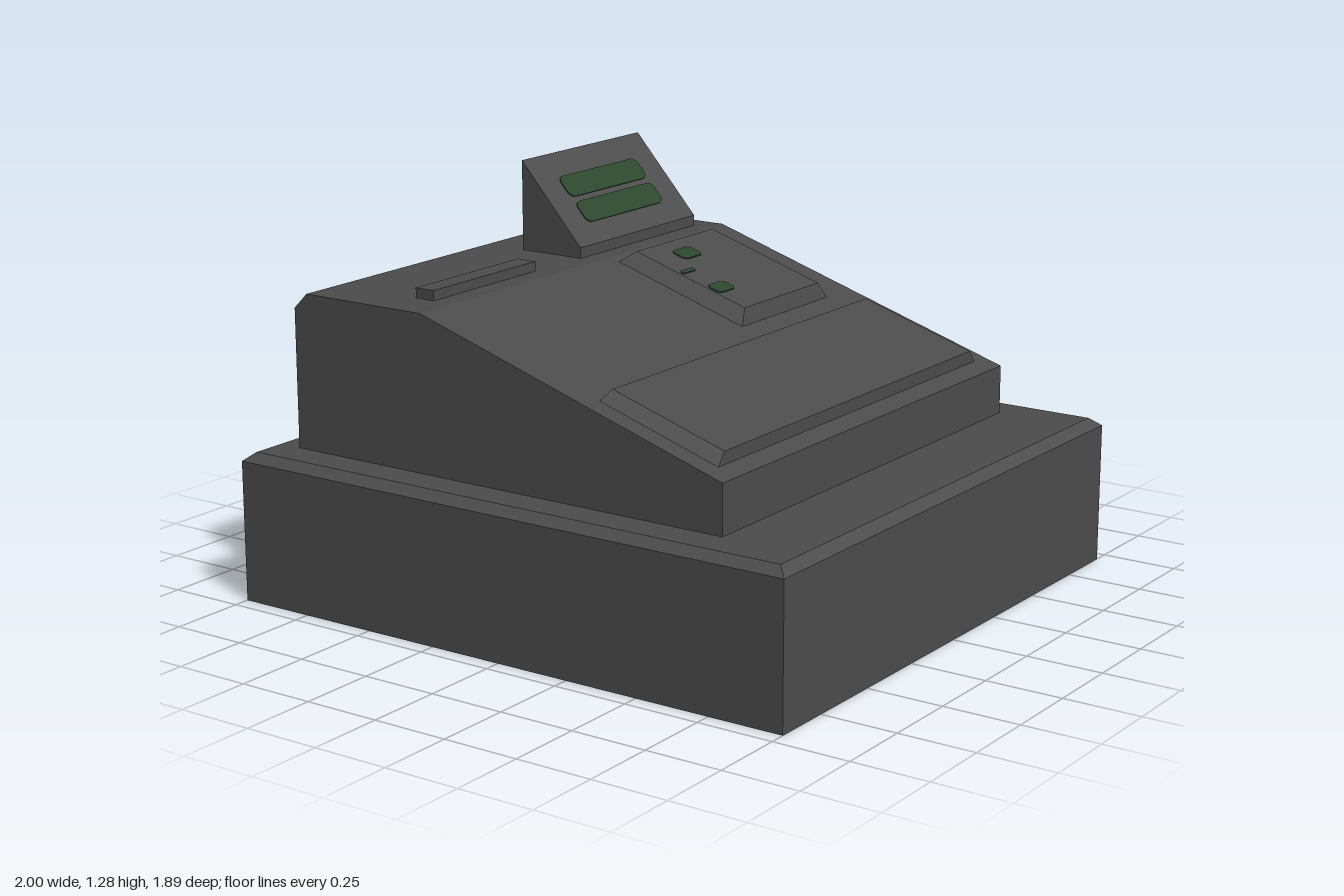
import * as THREE from 'three';

export function createModel() {
  const model = new THREE.Group();
  model.name = 'cashRegister';
  const casing = new THREE.MeshStandardMaterial({ color: 0x4c4c4c });
  casing.name = 'charcoal casing';
  const green = new THREE.MeshStandardMaterial({ color: 0x2b472c });
  green.name = 'dark green display';

  const add = (name, geometry, material = casing) => {
    const mesh = new THREE.Mesh(geometry, material);
    mesh.name = name;
    model.add(mesh);
    return mesh;
  };

  // Side profile in x and y, extruded from z0 to z1
  const prism = (points, z0, z1) => {
    const shape = new THREE.Shape(points.map(([x, y]) => new THREE.Vector2(x, y)));
    return new THREE.ExtrudeGeometry(shape, { depth: z1 - z0, bevelEnabled: false }).translate(0, 0, z0);
  };

  // Four-sided block between a lower and an upper rectangle; height may vary with x
  const block = (lower, upper, lowerY, upperY) => {
    const ring = ([x0, x1, z0, z1], y) =>
      [[x0, z1], [x1, z1], [x1, z0], [x0, z0]].map(([x, z]) => [x, y(x), z]);
    const a = ring(lower, lowerY);
    const b = ring(upper, upperY);
    const out = [];
    const quad = (p, q, r, s) => out.push(...p, ...q, ...r, ...p, ...r, ...s);
    for (let i = 0; i < 4; i++) {
      const j = (i + 1) % 4;
      quad(a[i], a[j], b[j], b[i]);
    }
    quad(...b);
    quad(a[3], a[2], a[1], a[0]);
    const geometry = new THREE.BufferGeometry();
    geometry.setAttribute('position', new THREE.Float32BufferAttribute(out, 3));
    geometry.computeVertexNormals();
    return geometry;
  };

  // Thin rounded plate lying on a surface that falls towards +x
  const plate = (name, x, y, z, width, length, radius, tilt) => {
    const w = width / 2, l = length / 2, r = radius;
    const s = new THREE.Shape();
    s.moveTo(-w + r, -l);
    s.lineTo(w - r, -l);
    s.absarc(w - r, -l + r, r, -Math.PI / 2, 0);
    s.absarc(w - r, l - r, r, 0, Math.PI / 2);
    s.absarc(-w + r, l - r, r, Math.PI / 2, Math.PI);
    s.absarc(-w + r, -l + r, r, Math.PI, Math.PI * 1.5);
    const geometry = new THREE.ExtrudeGeometry(s, { depth: 0.004, bevelEnabled: false, curveSegments: 6 });
    geometry.rotateX(-Math.PI / 2).rotateZ(-tilt);
    add(name, geometry, green).position.set(x, y, z);
  };

  // Cash drawer with chamfered top edge
  const base = [-1, 1, -0.947, 0.947];
  add('drawerBase', block(base, base, () => 0, () => 0.455));
  add('drawerTopBevel', block(base, [-0.967, 0.967, -0.914, 0.914], () => 0.455, () => 0.482));

  // Sloping body
  add('body', prism([[-0.89, 0.48], [0.7, 0.48], [0.7, 0.64], [-0.39, 0.98], [-0.84, 0.98], [-0.89, 0.93]], -0.805, 0.803));
  const slope = (x) => 0.98 - 0.312 * (x + 0.39);

  // Raised screen panel and long key panel
  add('screenPanel', block([-0.355, 0.125, -0.658, -0.157], [-0.308, 0.112, -0.624, -0.19],
    slope, (x) => slope(x) + 0.049));
  add('keyPanel', block([0.222, 0.638, -0.74, 0.733], [0.246, 0.638, -0.708, 0.702],
    slope, (x) => slope(x) + 0.04));

  // Display wedge and receipt slot
  add('displayHousing', prism([[-0.69, 0.98], [-0.455, 0.98], [-0.455, 1.015], [-0.69, 1.277]], -0.73, -0.085));
  add('receiptSlot', new THREE.BoxGeometry(0.07, 0.034, 0.505)).position.set(-0.495, 0.995, 0.4);

  // Two digit bars on the display
  const displayY = (x) => 1.277 - (x + 0.69) * (0.262 / 0.235);
  const displayTilt = Math.atan(0.262 / 0.235);
  for (const x of [-0.602, -0.534]) {
    plate('displayBar', x, displayY(x), -0.408, 0.082, 0.43, 0.026, displayTilt);
  }

  // Small marks on the screen panel
  const panelTilt = Math.atan(0.312);
  for (const [x, z, w, l, r] of [[-0.225, -0.355, 0.062, 0.1, 0.018], [-0.138, -0.235, 0.018, 0.07, 0.008], [-0.015, -0.245, 0.056, 0.094, 0.02]]) {
    plate('screenMark', x, slope(x) + 0.049, z, w, l, r, panelTilt);
  }

  return model;
}
